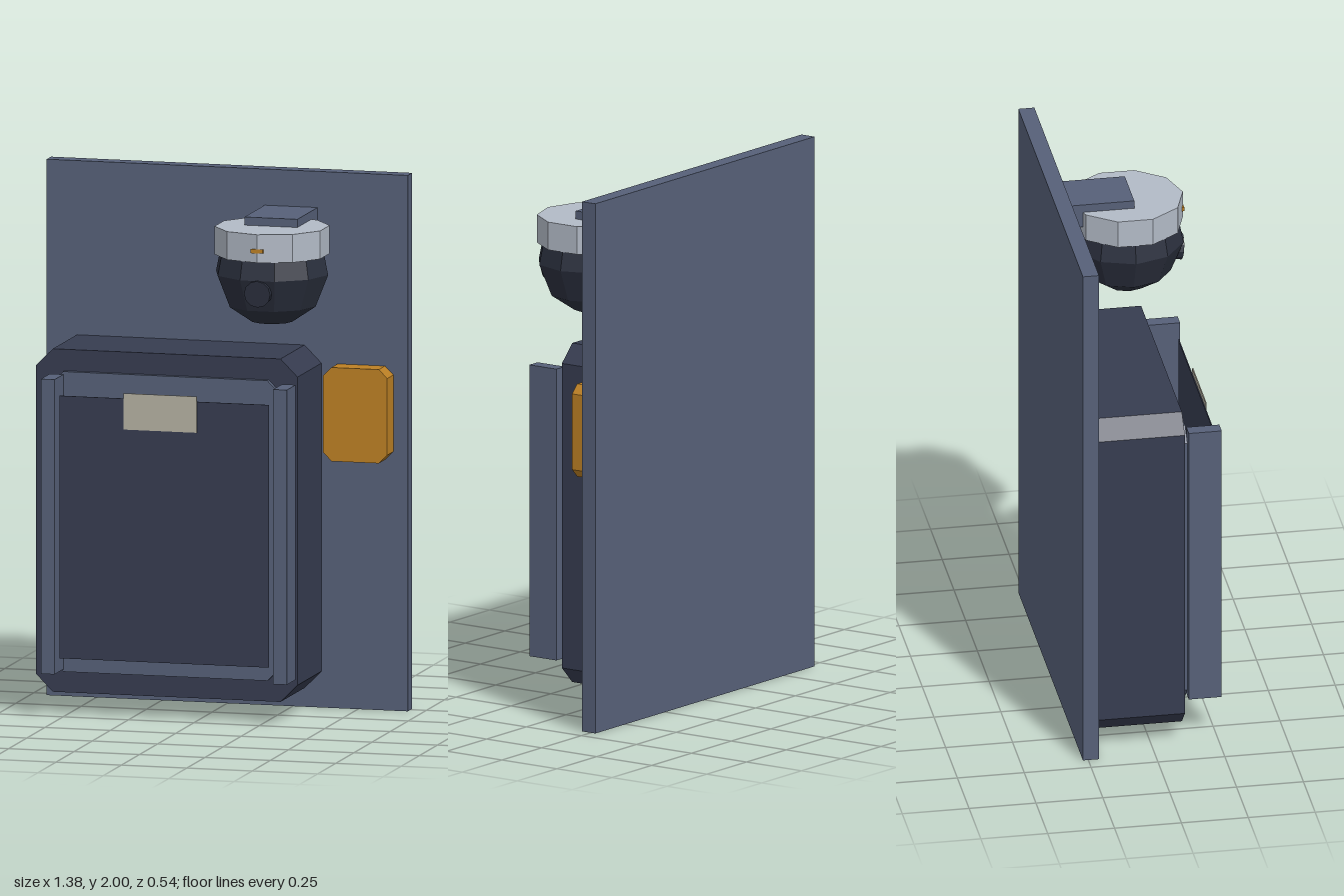
import * as THREE from 'three';

const mat = (name, color) => {
  const m = new THREE.MeshStandardMaterial({ color });
  m.name = name;
  m.flatShading = true;
  m.side = THREE.DoubleSide;
  return m;
};

export function createModel() {
  const model = new THREE.Group();
  const slate = mat('slate', 0x566078);
  const navy = mat('navy', 0x363c50);
  const black = mat('charcoal', 0x2b303e);
  const silver = mat('silver', 0xb2bac6);
  const amber = mat('amber', 0xbc8024);
  const cream = mat('cream', 0xb5b1a2);

  const add = (parent, name, geometry, material, x = 0, y = 0, z = 0) => {
    const mesh = new THREE.Mesh(geometry, material);
    mesh.name = name;
    mesh.position.set(x, y, z);
    parent.add(mesh);
    return mesh;
  };
  // Box given by its limits on each axis
  const box = (parent, name, material, x0, x1, y0, y1, z0, z1) =>
    add(parent, name, new THREE.BoxGeometry(x1 - x0, y1 - y0, z1 - z0), material,
      (x0 + x1) / 2, (y0 + y1) / 2, (z0 + z1) / 2);
  // Slab with four cut corners, extruded along z
  const cutSlab = (parent, name, material, x0, x1, y0, y1, z0, z1, c) => {
    const shape = new THREE.Shape([
      [x0 + c, y0], [x1 - c, y0], [x1, y0 + c], [x1, y1 - c],
      [x1 - c, y1], [x0 + c, y1], [x0, y1 - c], [x0, y0 + c],
    ].map(([x, y]) => new THREE.Vector2(x, y)));
    const geometry = new THREE.ExtrudeGeometry(shape, { depth: z1 - z0, bevelEnabled: false });
    return add(parent, name, geometry, material, 0, 0, z0);
  };

  // Wall panel
  box(model, 'wallPanel', slate, -0.69, 0.69, 0, 2, -0.27, -0.21);

  // Cabinet with its face plate, side rails and front screen
  const cabinet = new THREE.Group();
  cabinet.name = 'cabinet';
  model.add(cabinet);
  cutSlab(cabinet, 'housing', navy, -0.64, 0.36, 0.07, 1.35, -0.21, 0.12, 0.065);
  cutSlab(cabinet, 'facePlate', slate, -0.58, 0.3, 0.15, 1.27, 0.12, 0.14, 0.05);
  for (const side of [-1, 1]) {
    const x = -0.11 + side * 0.444;
    box(cabinet, side < 0 ? 'rightRail' : 'leftRail', slate,
      x - 0.026, x + 0.026, 0.16, 1.26, 0.145, 0.268);
  }
  box(cabinet, 'screen', navy, -0.51, 0.29, 0.22, 1.2, 0.258, 0.262);
  box(cabinet, 'label', cream, -0.265, 0.015, 1.085, 1.22, 0.262, 0.266);

  // Fittings behind the screen
  box(cabinet, 'slotHood', navy, -0.315, -0.09, 0.9, 0.98, 0.14, 0.19);
  add(cabinet, 'cup', new THREE.CylinderGeometry(0.12, 0.08, 0.16, 10, 1, true, -Math.PI / 2, Math.PI),
    amber, -0.235, 0.55, 0.14);
  add(cabinet, 'cupBase', new THREE.CylinderGeometry(0.08, 0.08, 0.01, 10, 1, false, -Math.PI / 2, Math.PI),
    amber, -0.235, 0.47, 0.14);
  const lever = add(cabinet, 'lever', new THREE.CylinderGeometry(0.018, 0.018, 0.14, 6), black, -0.02, 0.7, 0.158);
  lever.rotation.z = Math.PI / 2;

  // Control box beside the cabinet
  cutSlab(model, 'controlBox', amber, 0.39, 0.635, 0.935, 1.285, -0.21, -0.125, 0.032);

  // Ceiling-style camera on its bracket
  const camera = new THREE.Group();
  camera.name = 'domeCamera';
  camera.position.set(0.245, 0, 0.055);
  model.add(camera);
  box(model, 'bracket', slate, 0.143, 0.345, 1.775, 1.865, -0.21, 0.068);
  add(camera, 'collar', new THREE.CylinderGeometry(0.212, 0.212, 0.105, 10), silver, 0, 1.782, 0);
  const profile = [[0, 1.48], [0.077, 1.48], [0.166, 1.54], [0.214, 1.66], [0.2, 1.73], [0, 1.73]]
    .map(([r, y]) => new THREE.Vector2(r, y));
  add(camera, 'dome', new THREE.LatheGeometry(profile, 10, Math.PI / 10), black);
  const lens = add(camera, 'lens', new THREE.CylinderGeometry(0.05, 0.05, 0.04, 12), black, 0, 1.613, 0.188);
  lens.rotation.x = Math.PI / 2 + 0.1;
  box(camera, 'indicator', amber, -0.023, 0.023, 1.765, 1.78, 0.198, 0.214);

  return model;
}
